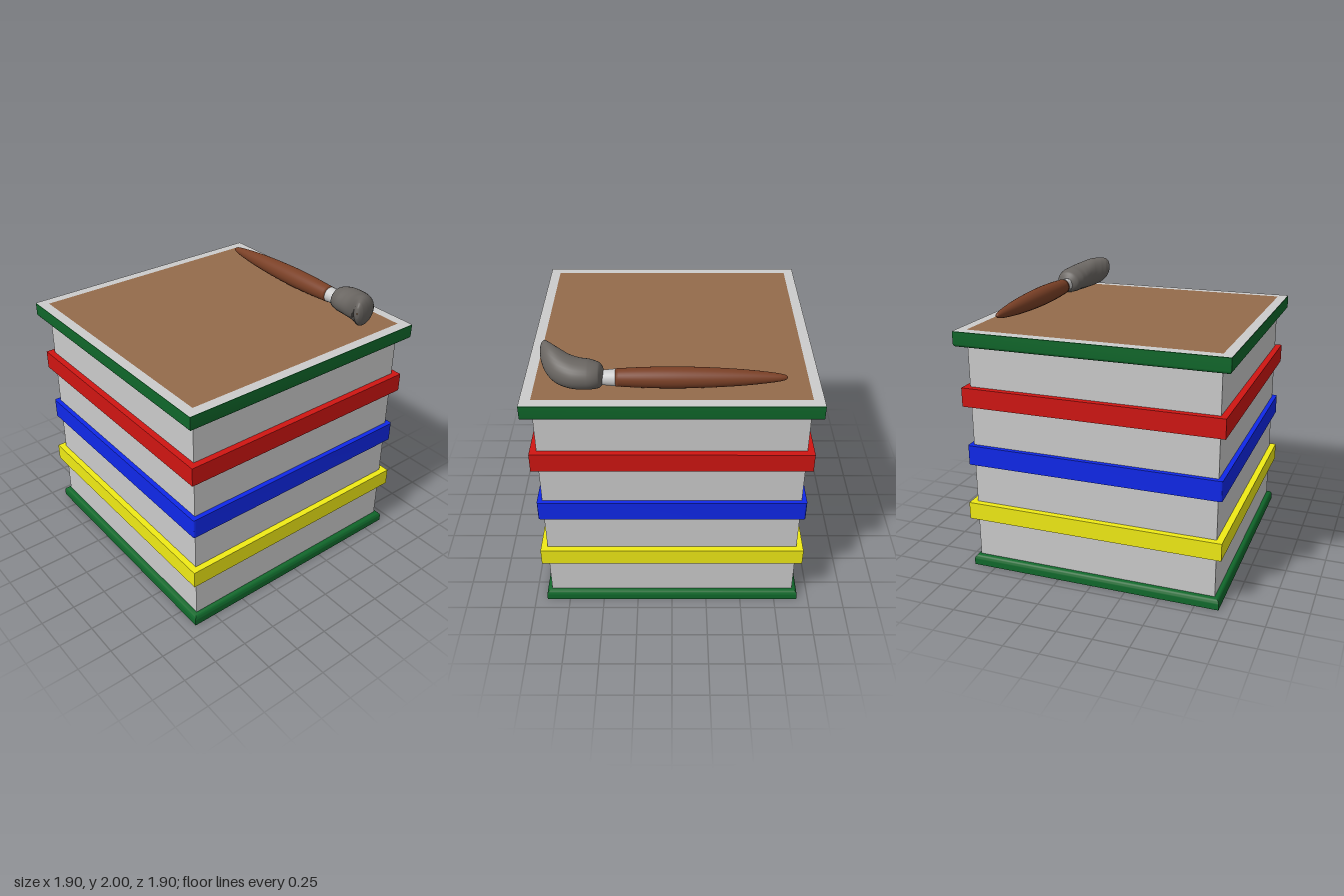
import * as THREE from 'three';
import { toCreasedNormals } from 'three/addons/utils/BufferGeometryUtils.js';
import { ParametricGeometry } from 'three/addons/geometries/ParametricGeometry.js';

const GREY = 0xcccccc, GREEN = 0x10682b;
const V = (x, y, z) => new THREE.Vector3(x, y, z);

function add(parent, name, geometry, color) {
  const mesh = new THREE.Mesh(geometry, new THREE.MeshStandardMaterial({ color }));
  mesh.name = name;
  parent.add(mesh);
  return mesh;
}

// Square solid from a profile of [half width, height], bottom to top
function squareLathe(profile) {
  const points = profile.map(([r, y]) => new THREE.Vector2(r * Math.SQRT2, y));
  return toCreasedNormals(new THREE.LatheGeometry(points, 4, Math.PI / 4), 0.6);
}

// Quarter-round edge: points of a slab corner, from angle a0 to a1
function arc(cx, cy, r, a0, a1, n = 6) {
  return Array.from({ length: n + 1 }, (_, i) => {
    const a = a0 + (a1 - a0) * i / n;
    return [cx + r * Math.cos(a), cy + r * Math.sin(a)];
  });
}

function square(half, r = 0) {
  const s = new THREE.Shape();
  if (!r) {
    s.moveTo(-half, -half).lineTo(half, -half).lineTo(half, half).lineTo(-half, half).closePath();
    return s;
  }
  const k = half - r;
  s.absarc(k, k, r, 0, Math.PI / 2);
  s.absarc(-k, k, r, Math.PI / 2, Math.PI);
  s.absarc(-k, -k, r, Math.PI, Math.PI * 1.5);
  s.absarc(k, -k, r, Math.PI * 1.5, Math.PI * 2);
  return s;
}

function createBrush() {
  const brush = new THREE.Group();
  brush.name = 'brush';

  // Turned handle and ferrule, lying along x
  const turned = (name, profile, color) => {
    const mesh = add(brush, name, new THREE.LatheGeometry(profile, 32), color);
    mesh.rotation.z = -Math.PI / 2;
    mesh.position.set(0, 1.83, -0.73);
  };
  const handleCurve = new THREE.SplineCurve([
    [0.002, -0.73], [0.016, -0.715], [0.03, -0.65], [0.049, -0.48], [0.062, -0.28],
    [0.069, -0.04], [0.066, 0.17], [0.057, 0.355],
  ].map(p => new THREE.Vector2(...p)));
  turned('handle', [...handleCurve.getPoints(40), new THREE.Vector2(0, 0.355)], 0x7a4026);
  turned('ferrule', [new THREE.Vector2(0.056, 0.352), new THREE.Vector2(0.047, 0.445)], GREY);

  // Bristles: centre x, y, z, half height, half width along a bent path
  const sections = [
    [0.43, 1.837, -0.727, 0.045, 0.043],
    [0.455, 1.845, -0.726, 0.078, 0.085],
    [0.52, 1.853, -0.727, 0.092, 0.11],
    [0.60, 1.857, -0.722, 0.097, 0.112],
    [0.68, 1.867, -0.695, 0.105, 0.1],
    [0.745, 1.885, -0.645, 0.11, 0.078],
    [0.79, 1.9, -0.587, 0.1, 0.054],
    [0.813, 1.915, -0.545, 0.078, 0.034],
    [0.823, 1.923, -0.522, 0.042, 0.016],
    [0.826, 1.925, -0.516, 0.004, 0.003],
  ];
  const path = new THREE.CatmullRomCurve3(sections.map(s => V(s[0], s[1], s[2])));
  const size = new THREE.CatmullRomCurve3(sections.map(s => V(s[3], s[4], 0)));
  const surface = (u, v, target) => {
    const t = Math.min(Math.max(v, 0), 1), a = u * Math.PI * 2;
    const c = path.getPoint(t), s = size.getPoint(t), d = path.getTangent(t);
    const len = Math.hypot(d.x, d.z), w = s.y * Math.cos(a) / len;
    target.set(c.x + d.z * w, c.y + s.x * Math.sin(a), c.z - d.x * w);
  };
  add(brush, 'bristles', new ParametricGeometry(surface, 32, 54), 0x6a6662);
  return brush;
}

export function createModel() {
  const model = new THREE.Group();

  // Box body
  const body = add(model, 'body', new THREE.BoxGeometry(1.76, 1.68, 1.76), GREY);
  body.position.y = 0.86;

  // Base with a rounded upper edge, lid rim with a rounded lower edge
  add(model, 'base', squareLathe([
    [0, 0], [0.917, 0], ...arc(0.882, 0.042, 0.035, 0, Math.PI / 2), [0, 0.077],
  ]), GREEN);
  add(model, 'lidRim', squareLathe([
    [0, 1.652], ...arc(0.93, 1.672, 0.02, -Math.PI / 2, 0), [0.95, 1.757], [0, 1.757],
  ]), GREEN);

  // Coloured bands around the body
  for (const [name, y0, y1, half, color] of [
    ['yellowBand', 0.375, 0.5, 0.925, 0xf0eb15],
    ['redBand', 1.225, 1.36, 0.925, 0xd01512],
  ]) {
    const band = add(model, name, new THREE.BoxGeometry(half * 2, y1 - y0, half * 2), color);
    band.position.y = (y0 + y1) / 2;
  }
  const blue = toCreasedNormals(new THREE.ExtrudeGeometry(square(0.914, 0.015),
    { depth: 0.143, bevelEnabled: false, curveSegments: 6 }), 0.6);
  blue.rotateX(-Math.PI / 2);
  add(model, 'blueBand', blue, 0x0f28ea).position.y = 0.792;

  // Lid top: grey border around a brown panel
  const border = square(0.95);
  border.holes.push(square(0.88));
  for (const [name, shape, color] of [['lidBorder', border, GREY], ['lidPanel', square(0.88), 0x946b4b]]) {
    const top = add(model, name, new THREE.ShapeGeometry(shape), color);
    top.rotation.x = -Math.PI / 2;
    top.position.y = 1.76;
  }

  model.add(createBrush());
  return model;
}
